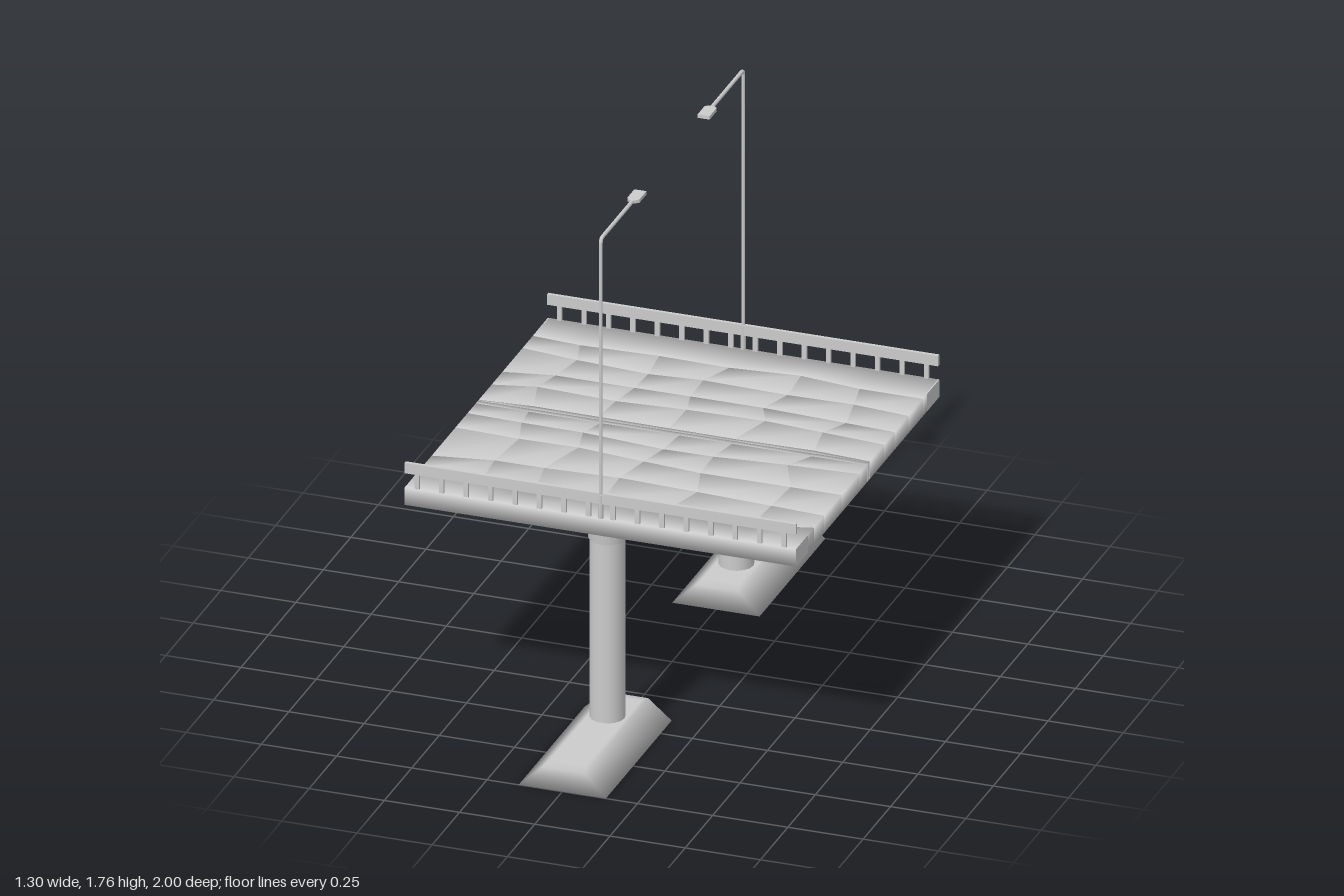
import * as THREE from 'three';
import { mergeVertices, mergeGeometries } from 'three/addons/utils/BufferGeometryUtils.js';
import { ConvexGeometry } from 'three/addons/geometries/ConvexGeometry.js';

const material = new THREE.MeshStandardMaterial({ color: 0xcccccc });
const BOTTOM = 0.73, TOP = 0.79, HALF = 0.653;

function add(parent, name, geometry, x = 0, y = 0, z = 0) {
  const mesh = new THREE.Mesh(geometry, material);
  mesh.name = name;
  mesh.position.set(x, y, z);
  parent.add(mesh);
  return mesh;
}

// Convex solid whose shared corners give soft, averaged normals
function softSolid(points) {
  let g = new ConvexGeometry(points);
  g.deleteAttribute('normal');
  g = mergeVertices(g, 1e-5);
  g.computeVertexNormals();
  return g;
}

// Upright block over four [x, z] corners, listed anticlockwise seen from above
function block(corners) {
  const pos = [];
  for (const y of [BOTTOM, TOP]) for (const [x, z] of corners) pos.push(x, y, z);
  const index = [0, 2, 1, 0, 3, 2, 4, 5, 6, 4, 6, 7];
  for (let i = 0; i < 4; i++) {
    const j = (i + 1) % 4;
    index.push(i, j, j + 4, i, j + 4, i + 4);
  }
  const g = new THREE.BufferGeometry();
  g.setAttribute('position', new THREE.Float32BufferAttribute(pos, 3));
  g.setIndex(index);
  g.computeVertexNormals();
  return g;
}

// Deck of irregular stone-like blocks between two edge beams
function makeDeck() {
  const cols = [-0.65, -0.475, -0.25, -0.01, 0.21, 0.45, 0.65];
  const rows = [-HALF, -0.515, -0.395, -0.26, -0.16, -0.03, -0.015, 0.005, 0.095, 0.215, 0.385, 0.515, HALF];
  const straight = [0, 6, 7, 12];
  let seed = 7;
  const jitter = (a) => {
    seed = (seed * 16807) % 2147483647;
    return (seed / 2147483647 - 0.5) * 2 * a;
  };
  const nodes = rows.map((z, r) => cols.map((x, c) => {
    const edge = c === 0 || c === cols.length - 1;
    const amount = r === 5 ? 0.01 : 0.028;
    return [edge ? x : x + jitter(0.04), straight.includes(r) ? z : z + jitter(amount)];
  }));
  const blocks = [];
  for (let r = 0; r < rows.length - 1; r++) {
    for (let c = 0; c < cols.length - 1; c++) {
      if (r === 0 || r === rows.length - 2) continue;
      blocks.push(block([nodes[r + 1][c], nodes[r + 1][c + 1], nodes[r][c + 1], nodes[r][c]]));
    }
  }
  const deck = new THREE.Group();
  deck.name = 'deck';
  add(deck, 'deckBlocks', mergeGeometries(blocks));

  // Edge beams follow the uneven line of the outermost blocks
  for (const r of [1, rows.length - 2]) {
    const s = r === 1 ? -1 : 1;
    const parts = [];
    for (let c = 0; c < cols.length - 1; c++) {
      const a = nodes[r][c], b = nodes[r][c + 1];
      const oa = [a[0], s * HALF], ob = [b[0], s * HALF];
      const g = block(s > 0 ? [oa, ob, b, a] : [a, b, ob, oa]);
      // Pieces share one rounded shading across the whole beam
      const p = g.attributes.position, n = g.attributes.normal;
      for (let i = 0; i < p.count; i++) {
        const v = new THREE.Vector3(0, p.getY(i) > 0.76 ? 1 : -1, Math.abs(p.getZ(i)) > 0.6 ? s : -s).normalize();
        n.setXYZ(i, v.x, v.y, v.z);
      }
      parts.push(g);
    }
    add(deck, 'edgeBeam', mergeGeometries(parts));
  }
  // Closing faces at the beam ends
  for (const sx of [-1, 1]) for (const sz of [-1, 1]) {
    add(deck, 'beamEnd', new THREE.BoxGeometry(0.004, TOP - BOTTOM, 0.11), sx * 0.6485, 0.76, sz * 0.597);
  }
  return deck;
}

// Pier: sloped footing, round column and cap
function makePier() {
  const pier = new THREE.Group();
  pier.name = 'pier';
  const pts = [];
  for (const sx of [-1, 1]) {
    for (const sz of [-1, 1]) {
      pts.push(new THREE.Vector3(sx * 0.145, 0, 0.7 + sz * 0.3));
      pts.push(new THREE.Vector3(sx * 0.07, 0.07, 0.7 + sz * 0.29));
      pts.push(new THREE.Vector3(sx * 0.06, 0.077, 0.7 + sz * 0.25));
    }
  }
  add(pier, 'footing', softSolid(pts));
  add(pier, 'column', new THREE.CylinderGeometry(0.056, 0.056, 0.64, 16), 0, 0.385, 0.587);
  add(pier, 'columnCap', new THREE.CylinderGeometry(0.064, 0.06, 0.035, 16), 0, 0.7125, 0.587);
  return pier;
}

// Railing: long rail on a row of short posts
function makeRailing() {
  const railing = new THREE.Group();
  railing.name = 'railing';
  add(railing, 'rail', new THREE.BoxGeometry(1.3, 0.036, 0.012), 0, 0.858, 0.648);
  const post = new THREE.BoxGeometry(0.016, 0.052, 0.009);
  for (let i = 0; i < 16; i++) add(railing, 'railPost', post, -0.61 + i * 0.0813, 0.815, 0.648);
  return railing;
}

// Street lamp: bent pole with a flat head reaching over the deck
function makeLamp() {
  const lamp = new THREE.Group();
  lamp.name = 'streetLamp';
  const path = new THREE.CurvePath();
  const v = (y, z) => new THREE.Vector3(0, y, z);
  path.add(new THREE.LineCurve3(v(0.79, 0.649), v(1.74, 0.649)));
  path.add(new THREE.QuadraticBezierCurve3(v(1.74, 0.649), v(1.756, 0.649), v(1.756, 0.633)));
  path.add(new THREE.LineCurve3(v(1.756, 0.633), v(1.756, 0.35)));
  add(lamp, 'pole', new THREE.TubeGeometry(path, 160, 0.0065, 8));
  add(lamp, 'poleBase', new THREE.CylinderGeometry(0.0085, 0.0085, 0.08, 8), 0, 0.83, 0.649);
  const head = [];
  for (const sx of [-1, 1]) for (const sy of [-1, 1]) {
    head.push(new THREE.Vector3(sx * 0.02, 1.756 + sy * 0.006, 0.288));
    head.push(new THREE.Vector3(sx * 0.02, 1.756 + sy * 0.006, 0.352));
    head.push(new THREE.Vector3(sx * 0.007, 1.756 + sy * 0.005, 0.364));
  }
  add(lamp, 'lampHead', new ConvexGeometry(head));
  return lamp;
}

export function createModel() {
  const model = new THREE.Group();
  model.name = 'bridgeSection';
  model.add(makeDeck());
  // Front and back halves carry the same parts, turned about
  for (const side of ['front', 'back']) {
    const half = new THREE.Group();
    half.name = side + 'Side';
    half.add(makePier(), makeRailing(), makeLamp());
    if (side === 'back') half.rotation.y = Math.PI;
    model.add(half);
  }
  return model;
}
